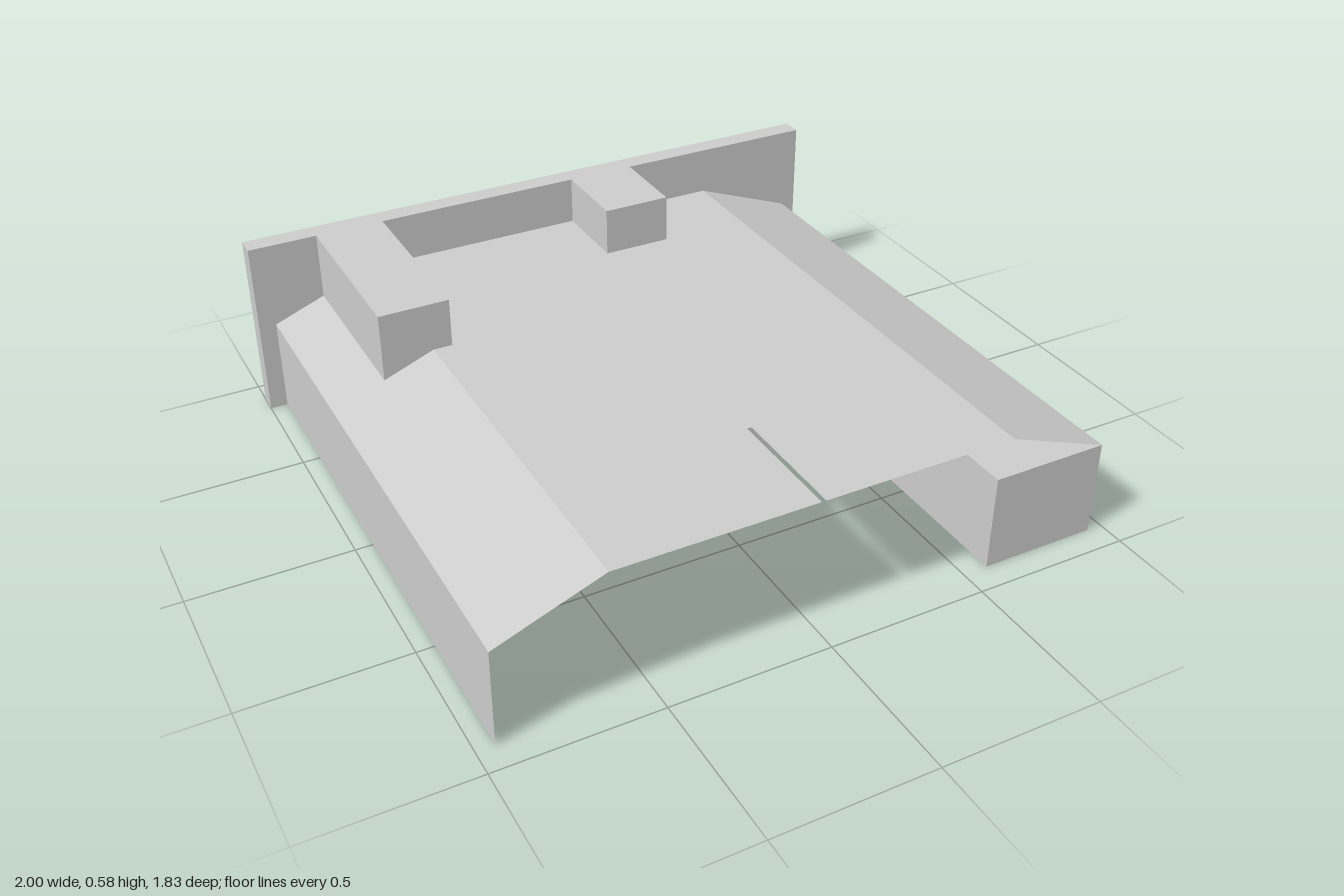
import * as THREE from 'three';

export function createModel() {
  const model = new THREE.Group();
  const solid = new THREE.MeshStandardMaterial({ color: 0xcccccc, flatShading: true });
  const sheet = new THREE.MeshStandardMaterial({ color: 0xcccccc, flatShading: true, side: THREE.DoubleSide });

  const add = (name, geometry, material) => {
    const mesh = new THREE.Mesh(geometry, material);
    mesh.name = name;
    model.add(mesh);
    return mesh;
  };

  // Box given by its limits on each axis
  const box = (name, [x0, x1], [y0, y1], [z0, z1]) =>
    add(name, new THREE.BoxGeometry(x1 - x0, y1 - y0, z1 - z0), solid)
      .position.set((x0 + x1) / 2, (y0 + y1) / 2, (z0 + z1) / 2);

  const back = -0.85, front = 0.915;
  const shoulder = 0.305, roof = 0.43, top = 0.585;
  const left = 0.95, right = -0.945, bend = 0.62;

  // Thin panel swept along z between two points of the cover's section
  const panel = (name, [xa, ya], [xb, yb]) => {
    const g = new THREE.BufferGeometry();
    g.setAttribute('position', new THREE.Float32BufferAttribute(
      [xa, ya, back, xa, ya, front, xb, yb, front, xb, yb, back], 3));
    g.setIndex([0, 1, 2, 0, 2, 3]);
    g.computeVertexNormals();
    add(name, g, sheet);
  };

  // Thin cover: side walls and sloping shoulders
  panel('rightWall', [right, 0], [right, shoulder]);
  panel('rightSlope', [right, shoulder], [-bend, roof]);
  panel('leftSlope', [bend, roof], [left, shoulder]);
  panel('leftWall', [left, shoulder], [left, 0]);

  // Flat roof with a narrow slot cut into its front edge
  const outline = [
    [-bend, back], [-bend, front], [-0.004, front], [-0.004, 0.53],
    [0.01, 0.53], [0.01, front], [bend, front], [bend, back],
  ].map(([x, z]) => new THREE.Vector2(x, -z));
  const roofGeometry = new THREE.ShapeGeometry(new THREE.Shape(outline));
  roofGeometry.rotateX(-Math.PI / 2);
  add('slottedRoof', roofGeometry, sheet).position.y = roof;

  // Back plate and the two tall blocks that stand through the roof
  box('backPlate', [-1, 1], [0, top], [-0.915, back]);
  box('longBlock', [-0.78, -0.56], [0, top], [back, -0.27]);
  box('shortBlock', [0.11, 0.33], [0, top], [back, -0.58]);

  // Low baffles inside the cover, and the block filling the front corner
  box('rearBaffle', [-0.12, left], [0, shoulder], [-0.41, -0.27]);
  box('middleBaffle', [right, 0.34], [0, shoulder], [0.01, 0.15]);
  box('frontCornerBlock', [0.58, left], [0, shoulder], [0.27, front]);

  return model;
}
